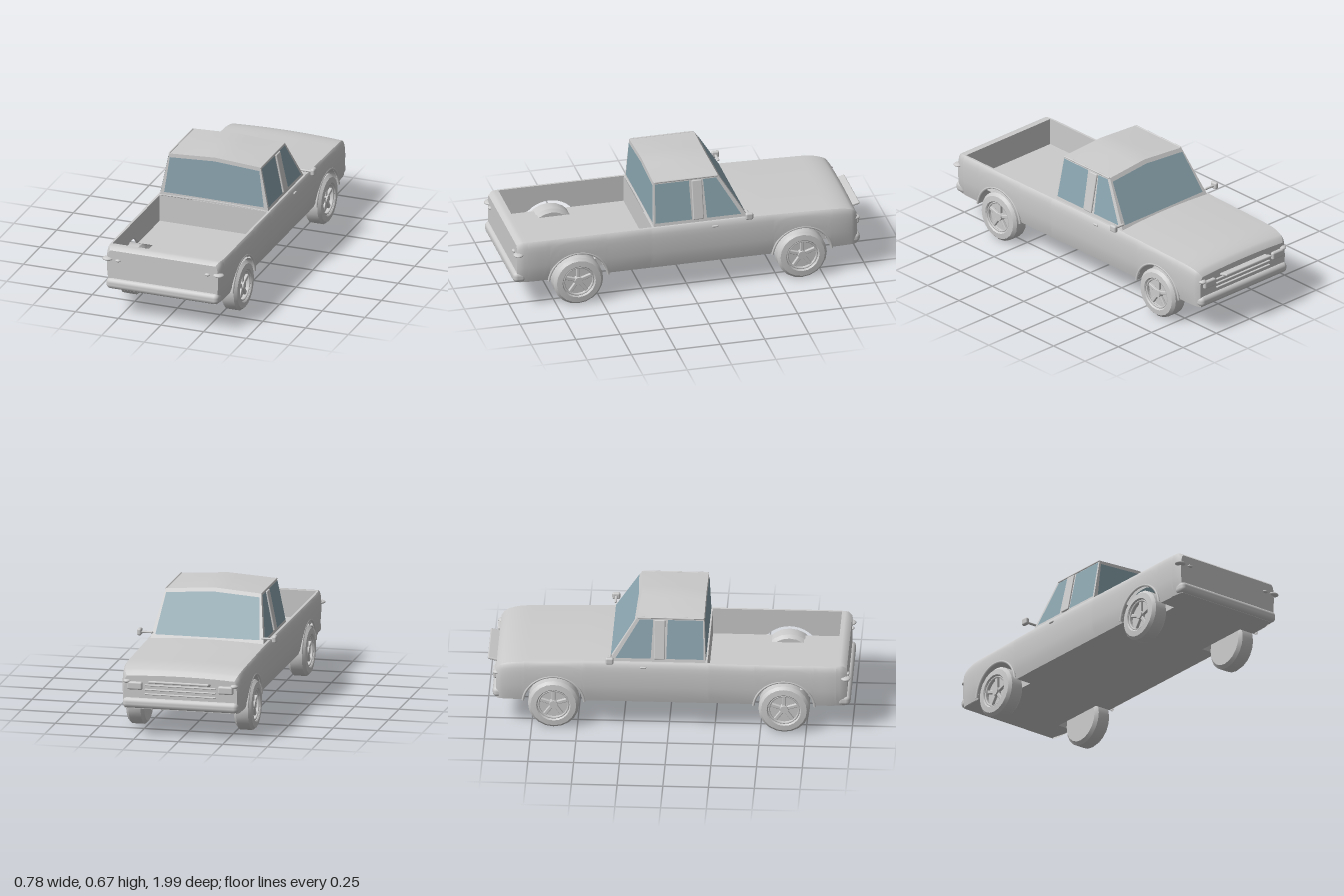
import * as THREE from 'three';
import { toCreasedNormals } from 'three/addons/utils/BufferGeometryUtils.js';
import { RoundedBoxGeometry } from 'three/addons/geometries/RoundedBoxGeometry.js';

const grey = new THREE.MeshStandardMaterial({ color: 0xcccccc, side: THREE.DoubleSide });
const glass = new THREE.MeshStandardMaterial({ color: 0x8aa4ae, side: THREE.DoubleSide });

const FRONT = -0.945, REAR = 0.972, SILL = 0.16, FLOOR = 0.25, BED_X = 0.315;
const AXLE = 0.63, WHEEL_Y = 0.14, ARCH = 0.165, A0 = Math.asin((SILL - WHEEL_Y) / ARCH);
const BED0 = 0.21, BED1 = 0.915;

const round = t => 1 - Math.sqrt(Math.max(0, 1 - t * t));
const over = (z, a, b) => THREE.MathUtils.clamp((z - a) / (b - a), 0, 1);

// Body rules: top edge height, arch cut-out and half width
const topY = z => 0.403 - 0.012 * over(z, -0.35, -0.8) - 0.05 * round(over(z, -0.78, FRONT)) - 0.018 * round(over(z, 0.94, REAR));
const bottomY = z => {
  const d = Math.abs(Math.abs(z) - AXLE);
  return d < ARCH ? Math.max(SILL, WHEEL_Y + Math.sqrt(ARCH * ARCH - d * d)) : SILL;
};
const PROFILE = [[0, 0.328], [0.012, 0.337], [0.035, 0.342], [0.08, 0.345], [0.16, 0.342], [0.21, 0.335], [0.25, 0.322]];
function halfWidth(y, z) {
  const s = topY(z) - y;
  let i = 1;
  while (i < PROFILE.length - 1 && PROFILE[i][0] < s) i++;
  const [a, b] = [PROFILE[i - 1], PROFILE[i]];
  const w = THREE.MathUtils.lerp(a[1], b[1], (s - a[0]) / (b[0] - a[0]));
  return w * (1 - 0.06 * round(over(z, 0.85, REAR)) - 0.08 * round(over(z, -0.78, FRONT)));
}

// Grid surface over two lists of parameters
function surface(us, vs, fn) {
  const pos = [], idx = [], n = vs.length;
  us.forEach((u, i) => vs.forEach((v, j) => {
    pos.push(...fn(u, v));
    if (i && j) {
      const d = i * n + j, c = d - 1, b = d - n, a = b - 1;
      idx.push(a, c, b, b, c, d);
    }
  }));
  const g = new THREE.BufferGeometry();
  g.setAttribute('position', new THREE.Float32BufferAttribute(pos, 3));
  g.setIndex(idx);
  g.computeVertexNormals();
  return g;
}
const steps = (a, b, n) => Array.from({ length: n + 1 }, (_, i) => a + (b - a) * i / n);

// Flat outline whose points are placed in space by a rule
function panel(points, place) {
  const g = new THREE.ShapeGeometry(new THREE.Shape(points.map(p => new THREE.Vector2(...p))));
  const p = g.attributes.position;
  for (let i = 0; i < p.count; i++) p.setXYZ(i, ...place(p.getX(i), p.getY(i)));
  g.computeVertexNormals();
  return g;
}

export function createModel() {
  const model = new THREE.Group();
  const add = (name, geo, x = 0, y = 0, z = 0, mat = grey, parent = model) => {
    const m = new THREE.Mesh(geo, mat);
    m.name = name;
    m.position.set(x, y, z);
    parent.add(m);
    return m;
  };
  const box = (w, h, d, r = 0.006) => new RoundedBoxGeometry(w, h, d, 2, Math.min(r, w / 2.1, h / 2.1, d / 2.1));

  // Lengthwise stations, dense along the arches and rounded ends
  const stations = [...steps(FRONT, -0.81, 8), ...steps(-0.45, 0.45, 8), BED0, BED1, ...steps(0.82, REAR, 8)];
  for (const c of [-AXLE, AXLE])
    for (const a of steps(A0, Math.PI - A0, 18)) stations.push(c + ARCH * Math.cos(a));
  stations.sort((a, b) => a - b);
  const rows = [0, 0.2, 0.4, 0.6, 0.75, 0.86, 0.95, 1];
  const across = steps(-1, 1, 12);
  const bedZ = stations.filter(z => z >= BED0 && z <= BED1);

  for (const s of [-1, 1]) {
    const side = s > 0 ? 'left' : 'right';
    add(side + 'BodySide', surface(stations, rows, (z, t) => {
      const y = THREE.MathUtils.lerp(bottomY(z), topY(z), t);
      return [s * halfWidth(y, z), y, z];
    }));
    add(side + 'BedWall', surface(bedZ, [0, 1], (z, t) =>
      [s * BED_X, t ? topY(z) : Math.max(FLOOR, bottomY(z)), z]));
    add(side + 'BedRail', surface(bedZ, [0, 1], (z, t) =>
      [s * (t ? BED_X : halfWidth(topY(z), z)), topY(z), z]));
  }

  // Hood, cowl, tailgate and nose
  const deck = (u, z) => [u * halfWidth(topY(z), z), topY(z) + 0.01 * (1 - u * u) * (z < 0.5 ? 1 : 0), z];
  add('hood', surface(across, stations.filter(z => z <= BED0), deck));
  add('tailgateTop', surface(across, stations.filter(z => z >= BED1), deck));
  for (const [name, z] of [['nose', FRONT], ['tailgate', REAR]])
    add(name, surface(across, rows, (u, t) => {
      const y = THREE.MathUtils.lerp(SILL, topY(z), t);
      const crown = z < 0 ? 0.01 * (1 - u * u) * t : 0;
      return [u * halfWidth(y, z), y + crown, z];
    }));
  for (const [name, z] of [['bedFrontWall', BED0], ['tailgateInside', BED1]])
    add(name, surface([-BED_X, BED_X], [FLOOR, topY(z)], (x, y) => [x, y, z]));

  // Underside with wheel openings
  const h = Math.sqrt(ARCH ** 2 - (SILL - WHEEL_Y) ** 2);
  const edge = [[0.3, FRONT], [0.32, -0.86]];
  for (const c of [-AXLE, AXLE]) edge.push([0.322, c - h], [0.23, c - h], [0.23, c + h], [0.322, c + h]);
  edge.push([0.318, 0.9], [0.303, REAR]);
  add('underside', panel([...edge, ...edge.map(([x, z]) => [-x, z]).reverse()], (x, z) => [x, SILL, z]));

  // Bed floor with slots over the rear wheels
  const floorEdge = [[BED_X, BED0], [BED_X, 0.535], [0.23, 0.535], [0.23, 0.71], [BED_X, 0.71], [BED_X, BED1]];
  add('bedFloor', panel([...floorEdge, ...floorEdge.map(([x, z]) => [-x, z]).reverse()], (x, z) => [x, FLOOR, z]));

  // Wheel: tyre and dished rim turned around the axle, five spokes
  const tyre = toCreasedNormals(new THREE.LatheGeometry([[0, -0.05], [0.122, -0.05], [0.14, -0.034], [0.14, 0.034],
    [0.125, 0.05], [0.094, 0.053], [0.088, 0.047], [0.084, 0.02], [0, 0.02]]
    .map(p => new THREE.Vector2(...p)), 20), 0.5).rotateZ(-Math.PI / 2);
  const hub = new THREE.CylinderGeometry(0.022, 0.026, 0.026, 12).rotateZ(-Math.PI / 2);
  const spoke = box(0.018, 0.07, 0.02, 0.004).translate(0, 0.05, 0);
  const rimLip = new THREE.TorusGeometry(0.083, 0.006, 6, 20).rotateY(Math.PI / 2);
  const flare = new THREE.TorusGeometry(ARCH + 0.004, 0.007, 6, 24, Math.PI - 2 * A0).rotateZ(A0).rotateY(Math.PI / 2);

  for (const s of [-1, 1]) for (const c of [-AXLE, AXLE]) {
    const end = c < 0 ? 'hoodEnd' : 'bedEnd';
    const wheel = new THREE.Group();
    wheel.name = end + (s > 0 ? 'LeftWheel' : 'RightWheel');
    wheel.position.set(s * 0.302, WHEEL_Y, c);
    if (s < 0) wheel.rotation.y = Math.PI;
    model.add(wheel);
    add('tyre', tyre, 0, 0, 0, grey, wheel);
    add('rimLip', rimLip, 0.04, 0, 0, grey, wheel);
    add('hub', hub, 0.032, 0, 0, grey, wheel);
    for (let i = 0; i < 5; i++) add('spoke', spoke, 0.028, 0, 0, grey, wheel).rotation.x = i * Math.PI * 0.4;
    add('archFlare', flare, s * 0.341, WHEEL_Y, c);

    // Wheel well lining, open to the bed at the bed end
    const cut = Math.asin((FLOOR - WHEEL_Y) / ARCH);
    const arcs = c < 0 ? [[A0, Math.PI - A0]] : [[A0, cut], [Math.PI - cut, Math.PI - A0]];
    for (const [a, b] of arcs)
      add('wheelWell', surface(steps(a, b, 14), [0.23, 0.335], (t, x) =>
        [s * x, WHEEL_Y + ARCH * Math.sin(t), c + ARCH * Math.cos(t)]));
    add('wheelWellInside', surface(steps(c - h, c + h, 16), [0, 1], (z, t) =>
      [s * 0.23, t ? (c < 0 ? bottomY(z) : Math.min(FLOOR, bottomY(z))) : SILL, z]));
  }

  // Cab shell: sloped sides, windscreen, rear window and peaked roof
  const cabX = y => 0.318 - (y - 0.4) * 0.2;
  const screenZ = y => -0.33 + (y - 0.4) * 0.62;
  const backZ = y => 0.2 - (y - 0.4) * 0.04;
  const end = [[-0.318, 0.4], [0.318, 0.4], [0.268, 0.65], [0, 0.667], [-0.268, 0.65]];
  const pane = [[-0.292, 0.422], [0.292, 0.422], [0.262, 0.63], [0, 0.646], [-0.262, 0.63]];
  add('windscreenFrame', panel(end, (x, y) => [x, y, screenZ(y)]));
  add('windscreen', panel(pane, (x, y) => [x, y + 0.002, screenZ(y) - 0.003]), 0, 0, 0, glass);
  add('rearWindowFrame', panel(end, (x, y) => [x, y, backZ(y)]));
  add('rearWindow', panel(pane, (x, y) => [x, y, backZ(y) + 0.003]), 0, 0, 0, glass);
  add('roof', surface(steps(-1, 1, 8), steps(0, 1, 4), (u, v) => {
    const y = 0.65 + 0.017 * (1 - Math.abs(u));
    return [u * 0.268, y + 0.006 * Math.sin(Math.PI * v) * (1 - u * u), THREE.MathUtils.lerp(screenZ(y), backZ(y), v)];
  }));
  const cabSide = [[0.2, 0.4], [0.19, 0.65], [screenZ(0.65), 0.65], [-0.33, 0.4]];
  const windows = [[[0.19, 0.422], [0.183, 0.64], [-0.008, 0.64], [-0.015, 0.422]],
    [[-0.1, 0.422], [-0.088, 0.64], [-0.162, 0.64], [-0.292, 0.422]]];

  for (const s of [-1, 1]) {
    add('cabSide', panel(cabSide, (z, y) => [s * cabX(y), y, z]));
    for (const w of windows) add('sideWindow', panel(w, (z, y) => [s * (cabX(y) + 0.003), y, z]), 0, 0, 0, glass);
    add('doorPillar', box(0.012, 0.225, 0.06), s * 0.296, 0.53, -0.052).rotation.z = s * 0.197;
    add('roofGutter', box(0.01, 0.01, 0.36), s * 0.268, 0.649, 0.008);
    add('doorHandle', box(0.012, 0.012, 0.035), s * 0.342, 0.378, -0.14);

    // Door mirror on a short arm
    add('mirrorArm', box(0.07, 0.012, 0.014), s * 0.338, 0.435, -0.322);
    add('mirror', box(0.025, 0.04, 0.044, 0.01), s * 0.379, 0.436, -0.322);

    // Tail lamps and headlamps
    const ball = new THREE.SphereGeometry(1, 14, 8);
    add('tailLamp', ball, s * 0.324, 0.333, 0.965).scale.set(0.031, 0.011, 0.028);
    add('reversingLamp', ball, s * 0.262, 0.331, 0.974).scale.set(0.016, 0.008, 0.012);
    add('headlamp', box(0.085, 0.045, 0.03, 0.01), s * 0.255, 0.29, -0.948);
    add('frontIndicator', ball, s * 0.3, 0.312, -0.94).scale.set(0.022, 0.012, 0.026);
  }

  // Grille lip and bars
  add('grilleLip', box(0.34, 0.014, 0.06), 0, 0.318, -0.969).rotation.x = 0.25;
  for (const y of [0.245, 0.27, 0.295]) add('grilleBar', box(0.4, 0.008, 0.02), 0, y, -0.946);

  // Bumpers
  add('hoodEndBumper', box(0.65, 0.06, 0.075, 0.025), 0, 0.192, -0.927);
  add('bedEndBumper', box(0.66, 0.062, 0.075, 0.025), 0, 0.192, 0.955);
  return model;
}
